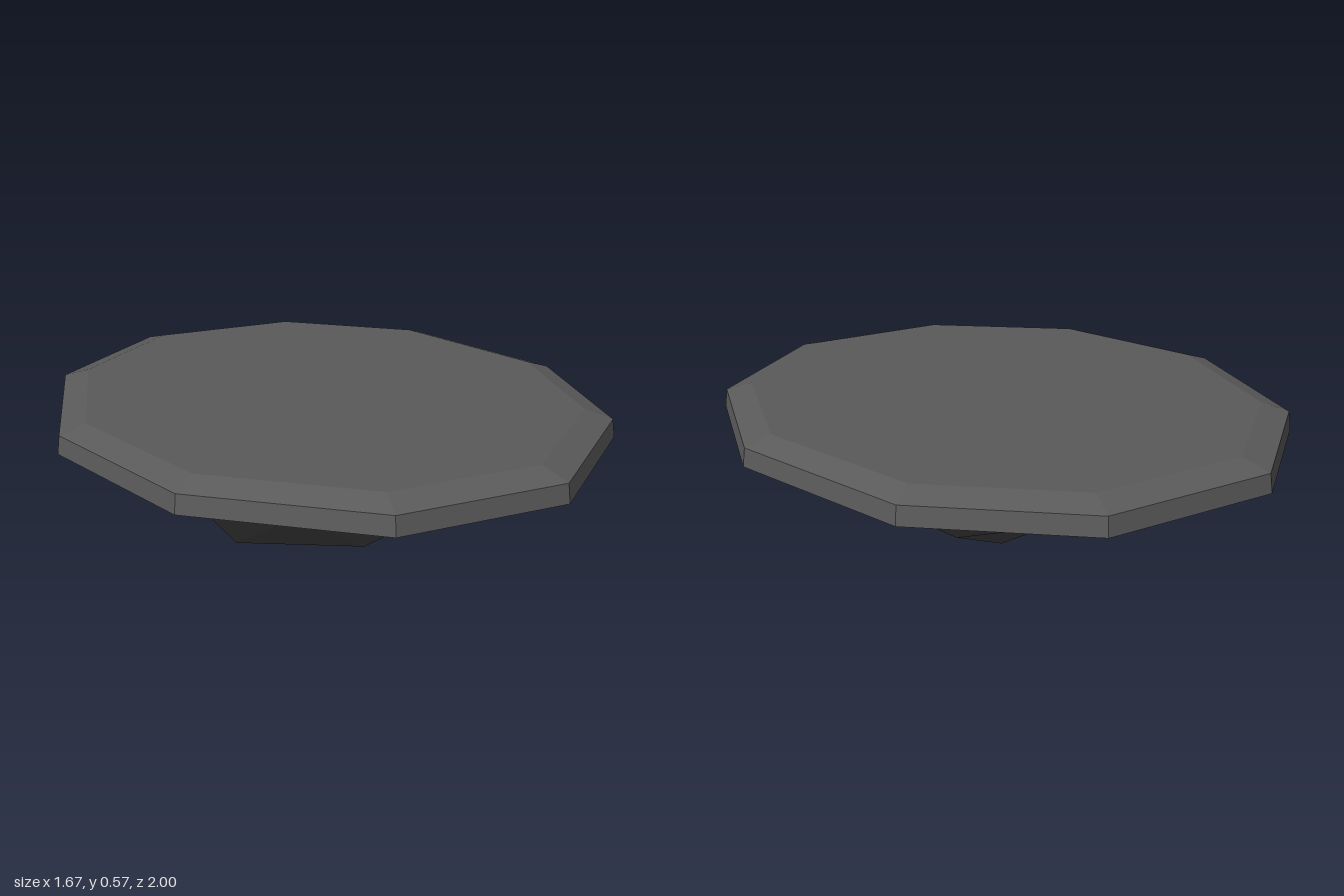
import * as THREE from 'three';

// Ten-sided outline [x, z], counted from the right side round towards the front
const outline = [
  [0.835, -0.32], [0.835, 0.32], [0.53, 0.8], [0, 1], [-0.505, 0.81],
  [-0.84, 0.3], [-0.84, -0.3], [-0.505, -0.81], [0, -1], [0.53, -0.8],
];
const ring = (scale, y) => outline.map(([x, z]) => [x * scale, y, z * scale]);

// Rough underside: ten upper knuckles, five lower ones and a single tip
const upper = [
  [0.65, 0.41, 0.07], [0.55, 0.43, 0.42], [0.19, 0.38, 0.63], [-0.2, 0.43, 0.6], [-0.49, 0.38, 0.38],
  [-0.59, 0.38, 0], [-0.46, 0.39, -0.38], [-0.16, 0.32, -0.61], [0.135, 0.29, -0.5], [0.52, 0.4, -0.33],
];
const lower = [
  [0.39, 0.22, -0.14], [0.19, 0.17, 0.25], [-0.2, 0.2, 0.4], [-0.375, 0.12, -0.02], [-0.05, 0.12, -0.2],
];
const tip = [0, 0, 0];

function facetMesh(name, triangles, material) {
  const geometry = new THREE.BufferGeometry();
  geometry.setAttribute('position', new THREE.Float32BufferAttribute(triangles.flat(2), 3));
  geometry.computeVertexNormals();
  const mesh = new THREE.Mesh(geometry, material);
  mesh.name = name;
  return mesh;
}

// Quads joining a lower ring to the ring above it
function band(low, high) {
  return low.flatMap((a, i) => {
    const j = (i + 1) % low.length;
    return [[a, high[i], low[j]], [low[j], high[i], high[j]]];
  });
}

export function createModel() {
  const group = new THREE.Group();
  group.name = 'floatingRock';
  const slabStone = new THREE.MeshStandardMaterial({ color: 0x5a5a5a, flatShading: true });
  slabStone.name = 'slab stone';
  const underStone = new THREE.MeshStandardMaterial({ color: 0x4a4a4a, flatShading: true });
  underStone.name = 'underside stone';

  // Flat slab: upright rim, shallow bevel and level top
  const rim = ring(1, 0.485), shoulder = ring(0.99, 0.545), edge = ring(0.895, 0.572);
  const centre = [0, 0.572, 0];
  group.add(facetMesh('slabRim', band(rim, shoulder), slabStone));
  group.add(facetMesh('slabBevel', band(shoulder, edge), slabStone));
  group.add(facetMesh('slabTop', edge.map((p, i) => [p, centre, edge[(i + 1) % 10]]), slabStone));

  // Underside facets from the rim down to the tip
  const under = [];
  for (let i = 0; i < 10; i++) {
    const j = (i + 1) % 10;
    under.push([rim[i], rim[j], upper[i]], [upper[i], rim[j], upper[j]]);
  }
  for (let k = 0; k < 5; k++) {
    const next = lower[(k + 1) % 5];
    const before = upper[(2 * k + 9) % 10], at = upper[2 * k], after = upper[2 * k + 1];
    under.push([before, at, lower[k]], [at, after, next], [at, next, lower[k]], [lower[k], next, tip]);
  }
  group.add(facetMesh('underside', under, underStone));
  return group;
}
